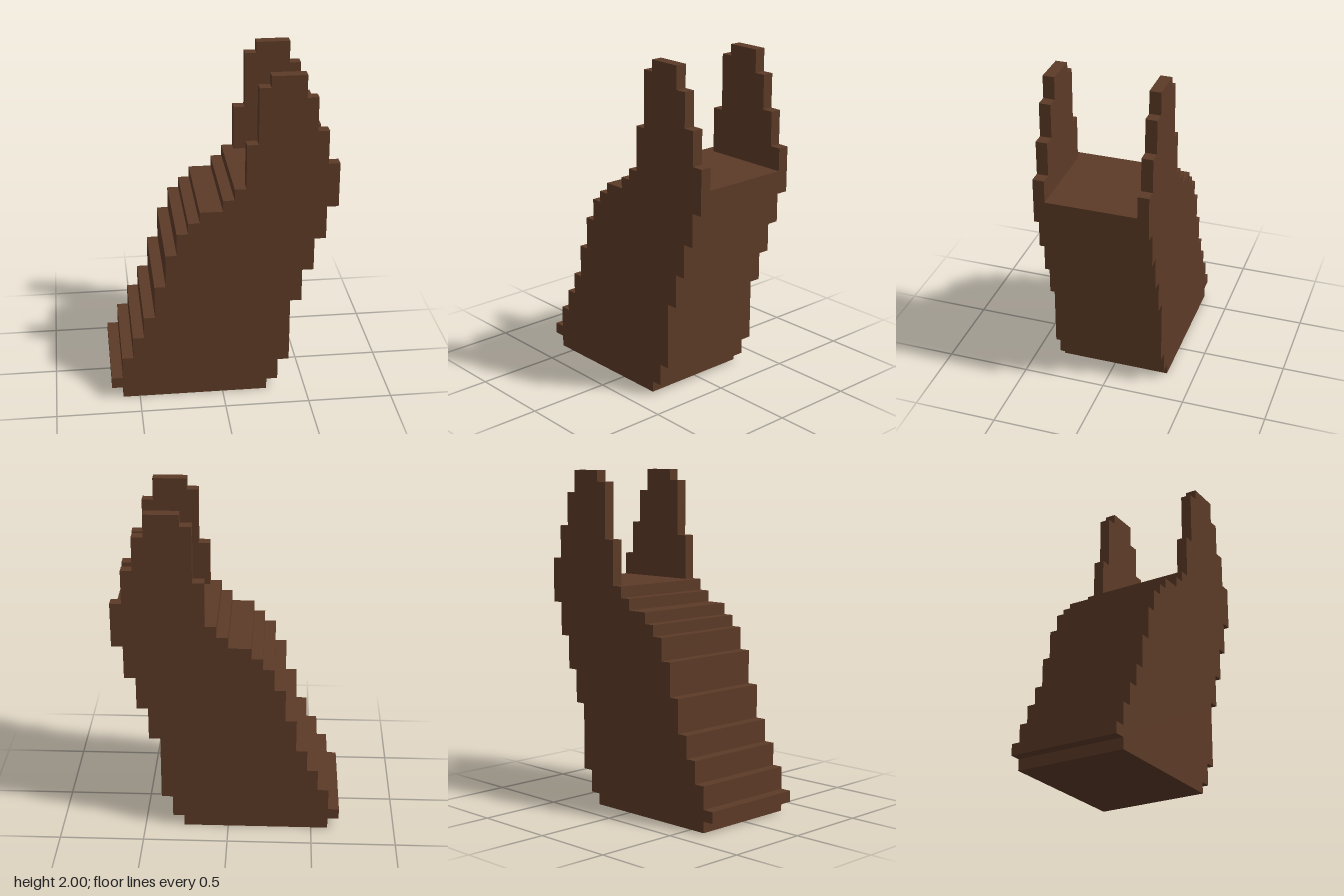
import * as THREE from 'three';

const U = 1 / 15; // size of one block

// Stepped edges as [x, top]: the edge stays at x up to that height (in blocks)
const bodyLeft = [[-9, 1], [-10, 2], [-9, 4], [-8, 6], [-7, 8], [-6, 11], [-5, 14], [-4, 16], [-3, 17], [-2, 18], [0, 19], [1, 20]];
const bodyRight = [[4, 1], [5, 3], [6, 9], [7, 12], [8, 15], [9, 18], [10, 20]];
const cheekLeft = [[2, 24], [3, 29], [4, 30]];
const cheekRight = [[10, 22], [9, 25], [8, 28], [7, 30]];

// Corner points of one stepped edge, from the bottom up
function edgePoints(steps, bottom) {
  const points = [];
  let y = bottom;
  for (const [x, top] of steps) {
    points.push(new THREE.Vector2(x * U, y * U), new THREE.Vector2(x * U, top * U));
    y = top;
  }
  return points;
}

// Slab between two stepped edges, running from z0 to z1 (in blocks)
function steppedSlab(name, left, right, bottom, z0, z1, material) {
  const outline = [...edgePoints(right, bottom), ...edgePoints(left, bottom).reverse()];
  const geometry = new THREE.ExtrudeGeometry(new THREE.Shape(outline), {
    depth: (z1 - z0) * U, bevelEnabled: false,
  });
  geometry.translate(0, 0, z0 * U);
  const mesh = new THREE.Mesh(geometry, material);
  mesh.name = name;
  return mesh;
}

export function createModel() {
  const model = new THREE.Group();
  model.name = 'steppedBlock';
  const brown = new THREE.MeshStandardMaterial({ color: 0x5c3a26, flatShading: true });

  // Solid leaning body with a flat top
  model.add(steppedSlab('body', bodyLeft, bodyRight, 0, -5, 5, brown));

  // Thin upright cheeks along the front and back of the flat top
  model.add(steppedSlab('frontCheek', cheekLeft, cheekRight, 20, 4, 5, brown));
  model.add(steppedSlab('backCheek', cheekLeft, cheekRight, 20, -5, -4, brown));

  return model;
}
